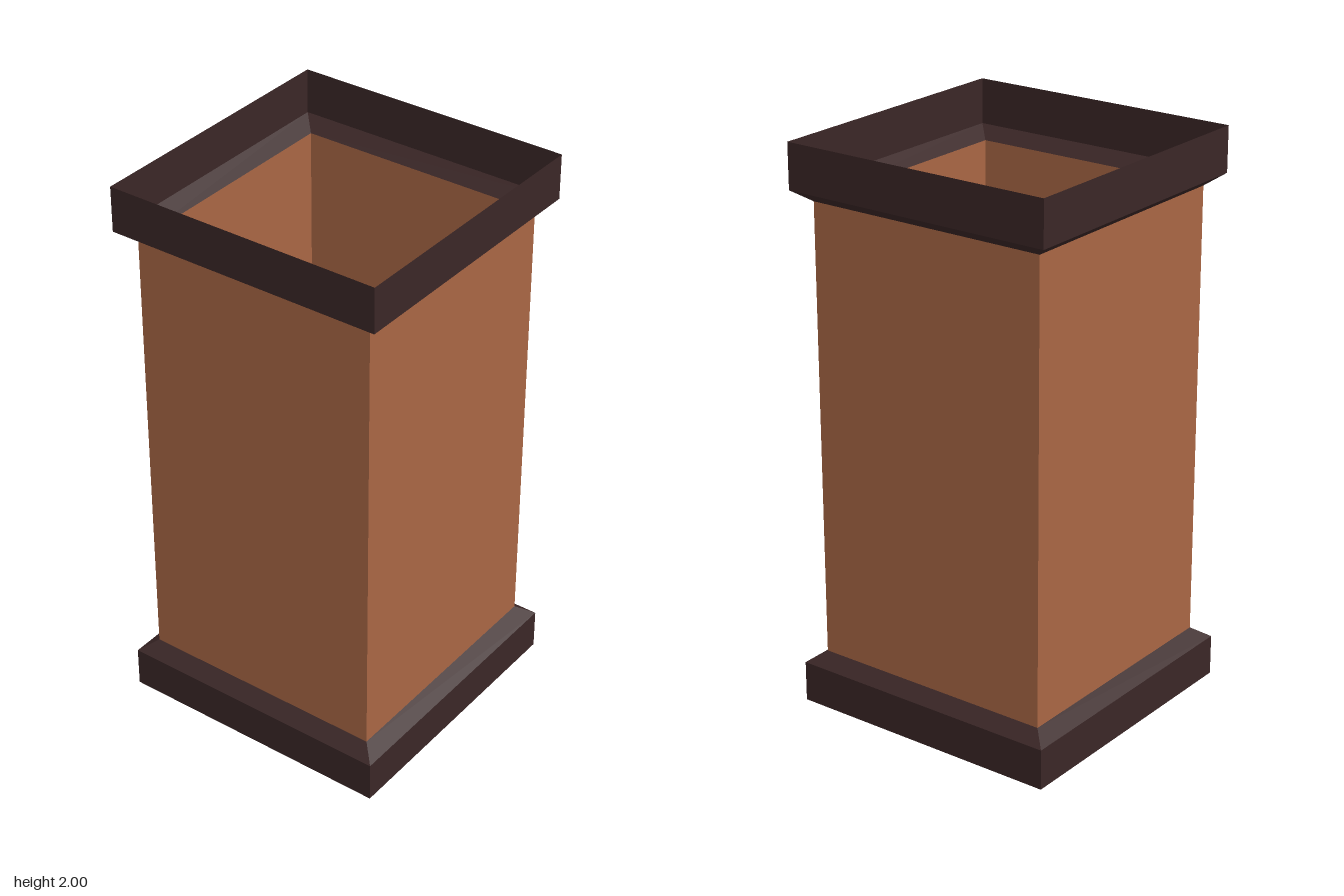
import * as THREE from 'three';

const material = (color) =>
  new THREE.MeshStandardMaterial({ color, flatShading: true, side: THREE.DoubleSide });

// Open square tube from [half width, height] pairs, listed bottom to top
function squareTube(name, profile, mat) {
  const points = profile.map(([half, y]) => new THREE.Vector2(half * Math.SQRT2, y));
  const geometry = new THREE.LatheGeometry(points, 4, Math.PI / 4).toNonIndexed();
  geometry.computeVertexNormals();
  const mesh = new THREE.Mesh(geometry, mat);
  mesh.name = name;
  return mesh;
}

export function createModel() {
  const group = new THREE.Group();
  group.name = 'squarePlanter';
  const clay = material(0xa86644);
  const dark = material(0x3a2626);
  const outer = 0.505, inner = 0.45;

  // Thin-walled shaft between two flared bands
  group.add(
    squareTube('base', [[outer, 0], [outer, 0.145], [inner, 0.185]], dark),
    squareTube('shaft', [[inner, 0.185], [inner, 1.8]], clay),
    squareTube('rim', [[inner, 1.8], [outer, 1.84], [outer, 2]], dark)
  );

  // Closed bottom, open top
  const floor = new THREE.Mesh(new THREE.PlaneGeometry(outer * 2, outer * 2).rotateX(Math.PI / 2), dark);
  floor.name = 'floor';
  group.add(floor);

  return group;
}
